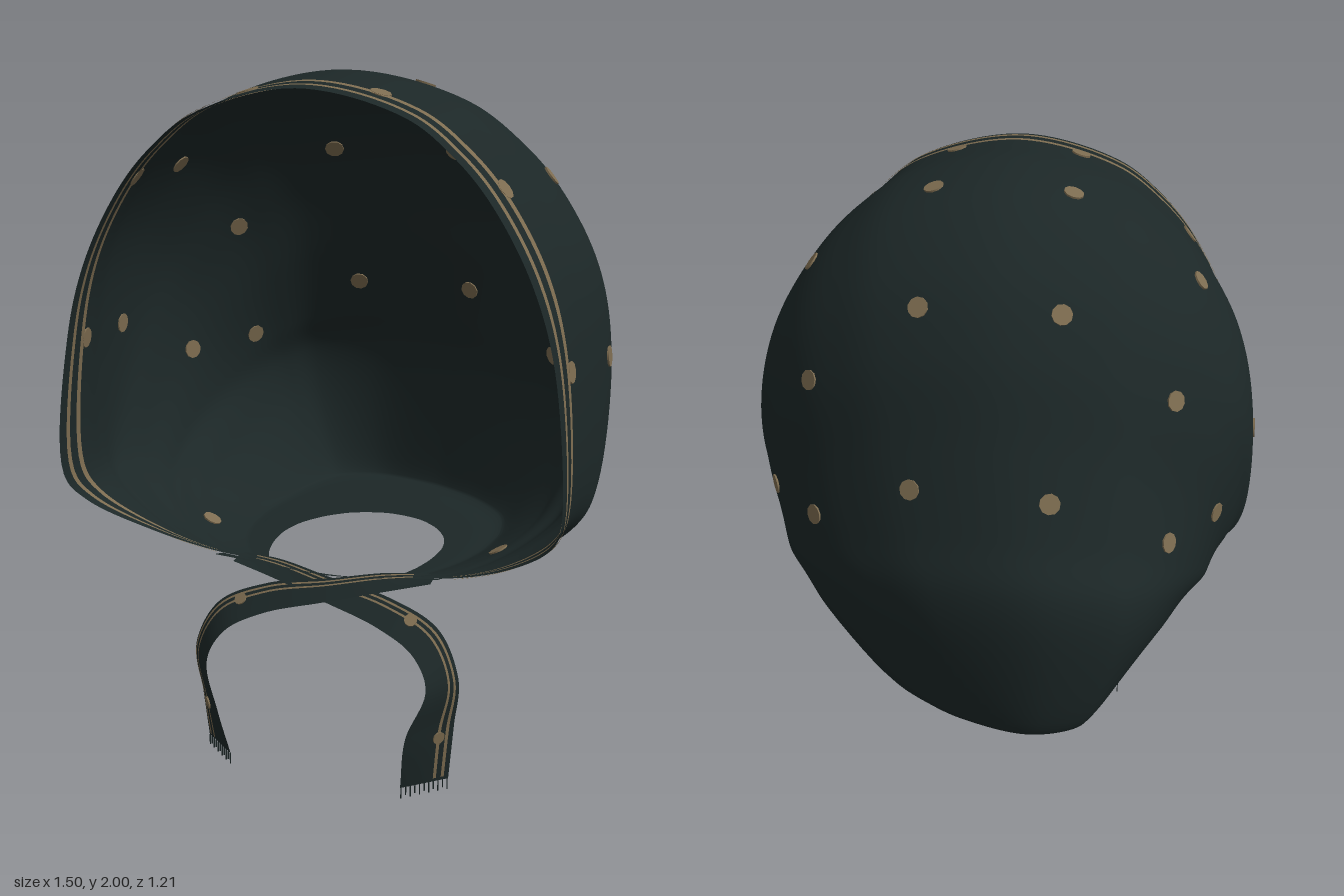
import * as THREE from 'three';

const V = (x, y, z) => new THREE.Vector3(x, y, z);
const N = 200; // columns from one chin corner, over the head, to the other
const CHIN = { x: 0.17, y: 0.6, z: 0.35 };

// Arch sections fanning out from the chin: apex y, apex z, half width, forward bulge
const SECTIONS = [
  [1.965, 0.6, 0.714, 1], [1.985, 0.42, 0.71, 0.4], [2.0, 0.25, 0.728, 0.1],
  [1.965, 0.01, 0.738, 0], [1.84, -0.18, 0.735, 0], [1.66, -0.31, 0.71, 0],
  [1.42, -0.41, 0.67, 0], [1.2, -0.51, 0.635, 0], [1.07, -0.58, 0.59, 0],
  [0.9, -0.6, 0.53, 0], [0.612, -0.572, 0.39, 0],
  // turned-in flap around the neck opening
  [0.602, -0.552, 0.375, 0], [0.605, -0.35, 0.33, 0], [0.605, -0.17, 0.25, 0],
];
// Along one half arch: fraction to the apex, width rule, bulge
const PROFILE = [
  [0, 0, 0], [0.01, 0.345, 0.005], [0.06, 0.67, 0.06], [0.145, 0.935, 0.162], [0.21, 1, 0.203],
  [0.5, 1, 0.125], [0.66, 0.93, 0.085], [0.8, 0.77, 0.05], [0.88, 0.62, 0.03],
  [0.95, 0.42, 0.01], [1, 0, 0],
];

function sectionCurve([ay, az, w, b], k) {
  const spread = Math.min(1 + 0.17 * Math.max(0, k - 3), 2); // the nape widens more slowly
  const half = PROFILE.map(([u0, v, f], j) => {
    const rising = j < 5;
    const u = rising ? u0 * spread : u0;
    // the face edge draws in slightly around the brow
    const pinch = u > 0.35 ? 0.045 * b * Math.sin(Math.PI * (u - 0.35) / 0.65) : 0;
    const x = (rising ? CHIN.x + (w - CHIN.x) * v : w * v) - pinch;
    return V(x, CHIN.y + (ay - CHIN.y) * u, CHIN.z + (az - CHIN.z) * u + f * b);
  });
  const all = [...half, ...half.slice(0, -1).reverse().map((p) => V(-p.x, p.y, p.z))];
  // the gathered nape leans to one side
  all.forEach((p) => { if (p.z < -0.15) p.x -= 0.9 * (p.z + 0.15) ** 2; });
  return new THREE.CatmullRomCurve3(all);
}

// Columns run from the face edge (s = 0) to the neck opening (s = 1)
const ROWS = SECTIONS.map((s, k) => sectionCurve(s, k).getPoints(N));
const COLS = Array.from({ length: N + 1 }, (_, i) =>
  new THREE.CatmullRomCurve3(ROWS.map((r) => r[i])));

const clamp = THREE.MathUtils.clamp;
function hoodPoint(s, i) {
  const p = COLS[i].getPoint(clamp(s, 0, 1));
  // soft gathers on the lower sides
  const a = Math.min(i, N - i) / N;
  const fold = Math.exp(-Math.pow((a - 0.22) / 0.1, 2)) * clamp((s - 0.3) * 4, 0, 1);
  p.x *= 1 + 0.008 * fold * Math.sin(s * 46);
  return p;
}
function hoodNormal(s, i) {
  const a = hoodPoint(s + 0.004, i).sub(hoodPoint(s - 0.004, i));
  const b = hoodPoint(s, Math.min(i + 1, N)).sub(hoodPoint(s, Math.max(i - 1, 0)));
  return a.cross(b).normalize();
}

// Smooth grid surface from a point function
function grid(fn, nu, nv) {
  const pos = [], idx = [];
  for (let a = 0; a <= nu; a++) for (let b = 0; b <= nv; b++) pos.push(...fn(a, b).toArray());
  for (let a = 0; a < nu; a++) for (let b = 0; b < nv; b++) {
    const p = a * (nv + 1) + b, q = p + nv + 1;
    idx.push(p, q, p + 1, q, q + 1, p + 1);
  }
  const g = new THREE.BufferGeometry();
  g.setAttribute('position', new THREE.Float32BufferAttribute(pos, 3));
  g.setIndex(idx);
  g.computeVertexNormals();
  return g;
}

export function createModel() {
  const model = new THREE.Group();
  model.name = 'headscarf';
  const cloth = new THREE.MeshStandardMaterial({ color: 0x1c2727, side: THREE.DoubleSide });
  cloth.name = 'dark teal cloth';
  const gold = new THREE.MeshStandardMaterial({ color: 0x7d6c50, side: THREE.DoubleSide });
  gold.name = 'muted gold print';

  const add = (parent, name, geo, mat) => {
    const m = new THREE.Mesh(geo, mat);
    m.name = name;
    parent.add(m);
    return m;
  };

  // Hood with its turned-in neck flap
  add(model, 'hood', grid((a, b) => hoodPoint(a / 104, b), 104, N), cloth);

  // Border stripes on both faces of the cloth
  const stripes = new THREE.Group();
  stripes.name = 'borderStripes';
  model.add(stripes);
  for (const [s0, s1] of [[0.0146, 0.023], [0.039, 0.049]]) {
    for (const off of [0.004, -0.004]) {
      add(stripes, 'borderStripe', grid((a, b) => {
        const s = s0 + (s1 - s0) * a / 2, i = b + 10;
        return hoodPoint(s, i).addScaledVector(hoodNormal(s, i), off);
      }, 2, N - 20), gold);
    }
  }

  // Printed dots, snapped to the nearest spot of the cloth and mirrored
  const dots = new THREE.Group();
  dots.name = 'printedDots';
  model.add(dots);
  const dotGeo = new THREE.CylinderGeometry(0.029, 0.029, 0.009, 10);
  const addDot = (parent, p, n, size = 1) => {
    const d = add(parent, 'dot', dotGeo, gold);
    d.position.copy(p);
    d.quaternion.setFromUnitVectors(V(0, 1, 0), n);
    d.scale.set(size, 1, size);
  };
  const targets = [
    [0.2, 1.95, 0.12], [0.57, 1.73, 0.11], [0.745, 1.25, 0.16],
    [0.2, 1.75, -0.23], [0.52, 1.51, -0.21], [0.66, 1.11, -0.13],
    [0.2, 1.3, -0.46], [0.48, 1.12, -0.3], [0.45, 0.65, 0.2],
    [0.18, 1.98, 0.475], [0.52, 1.72, 0.475], [0.72, 1.26, 0.475],
  ];
  for (const t of targets) {
    for (const side of [1, -1]) {
      const goal = V(side * t[0], t[1], t[2]);
      let best = Infinity, bs = 0, bi = 0;
      for (let k = 0; k <= 150; k++) for (let i = 1; i < N; i++) {
        const d = hoodPoint(k / 150, i).distanceToSquared(goal);
        if (d < best) { best = d; bs = k / 150; bi = i; }
      }
      addDot(dots, hoodPoint(bs, bi), hoodNormal(bs, bi));
    }
  }

  // Ribbon helper: centre path plus half-width vectors
  const ribbon = (centres, widths) => {
    const c = new THREE.CatmullRomCurve3(centres);
    const w = new THREE.CatmullRomCurve3(widths, false, 'catmullrom');
    const at = (t, v) => c.getPoint(t).addScaledVector(w.getPoint(t), v);
    const normal = (t) => c.getTangent(t).cross(w.getPoint(t)).normalize();
    return { at, normal };
  };

  // Chin band joining the two corners
  const band = ribbon(
    [V(0.32, 0.602, 0.345), V(0.17, 0.592, 0.36), V(0, 0.585, 0.37), V(-0.17, 0.592, 0.36), V(-0.36, 0.602, 0.345)],
    [V(0, 0.008, 0.03), V(0, 0.012, 0.035), V(0, 0.012, 0.035), V(0, 0.012, 0.035), V(0, 0.008, 0.03)]);
  add(model, 'chinBand', grid((a, b) => band.at(a / 24, b - 1), 24, 2), cloth);

  // Crossing ties, each with stripes, dots and a fringe
  for (const side of [1, -1]) {
    const tie = new THREE.Group();
    tie.name = side > 0 ? 'rightTie' : 'leftTie';
    model.add(tie);
    const m = (x, y, z) => V(side * x, y, z);
    const dz = side > 0 ? 0.012 : 0; // one tie passes in front
    const end = side > 0 ? 0.055 : 0.032;
    const r = ribbon(
      [m(0.3, 0.6, 0.345), m(0.16, 0.585, 0.37 + dz), m(0, 0.555, 0.405 + dz), m(-0.18, 0.515, 0.43),
        m(-0.31, 0.45, 0.45), m(-0.365, 0.34, 0.472), m(-0.335, 0.2, 0.485), m(-0.315, end, 0.468)],
      [m(0, -0.005, 0.03), m(0, -0.02, 0.028), m(0, -0.026, 0.03), m(0.008, -0.032, 0.036),
        m(0.025, -0.028, 0.04), m(0.035, -0.01, 0.042), m(0.052, 0, 0.064), m(0.056, 0, 0.05)]);
    add(tie, 'tieRibbon', grid((a, b) => r.at(a / 60, b / 2 - 1), 60, 4), cloth);
    for (const v0 of [-0.78, -0.45]) {
      for (const off of [0.003, -0.003]) {
        add(tie, 'tieStripe', grid((a, b) => {
          const t = 0.06 + 0.93 * a / 60;
          return r.at(t, v0 + 0.13 * b).addScaledVector(r.normal(t), off);
        }, 60, 1), gold);
      }
    }
    for (const t of [0.5, 0.88]) addDot(tie, r.at(t, -0.4), r.normal(t), 0.65);
    // fringe threads
    for (let k = 0; k < 11; k++) {
      const len = k % 2 ? 0.024 : 0.032;
      const thread = add(tie, 'fringeThread', new THREE.BoxGeometry(0.003, len, 0.003), cloth);
      thread.position.copy(r.at(1, -0.96 + k * 0.192));
      thread.position.y -= len / 2;
    }
  }
  return model;
}
